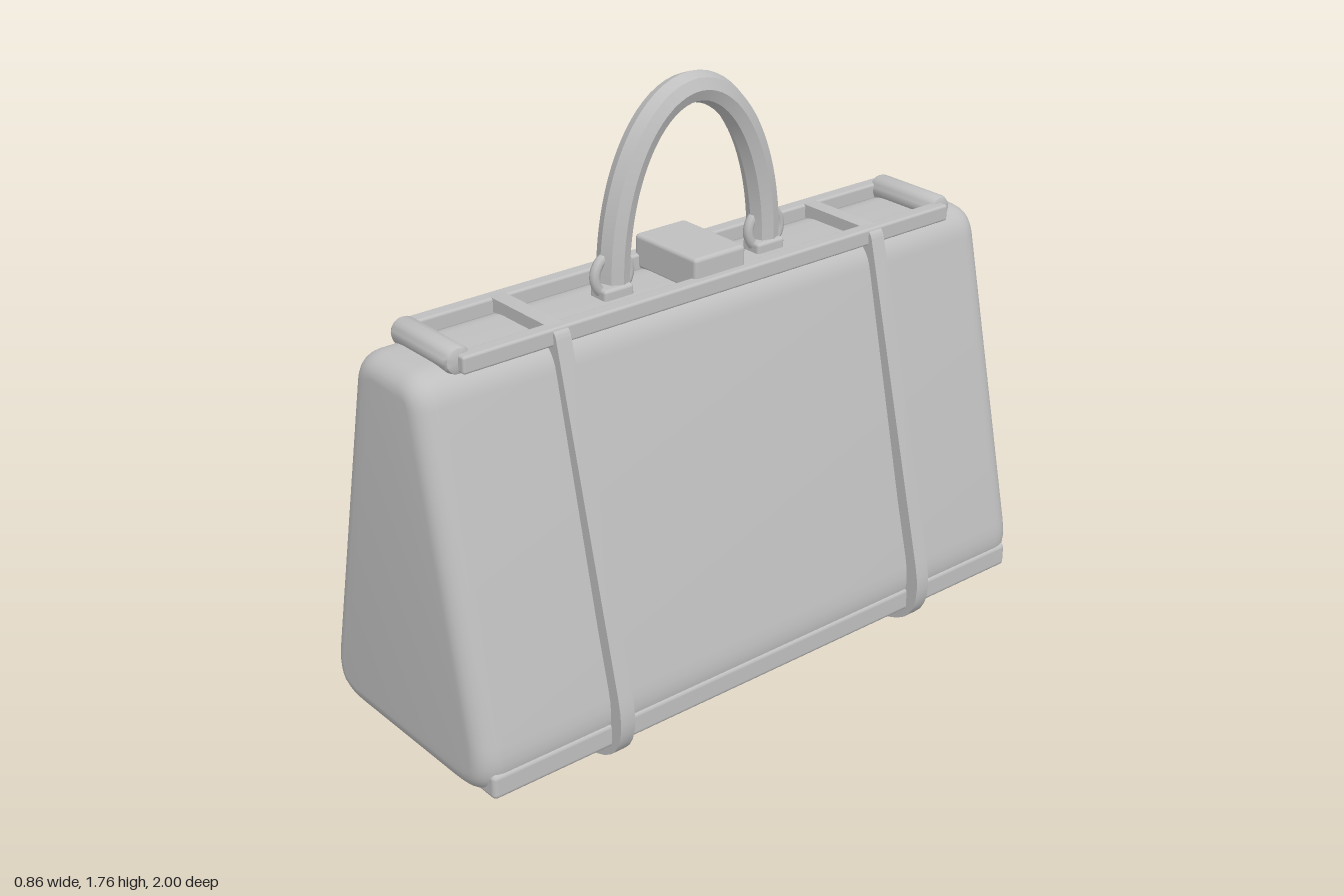
import * as THREE from 'three';
import { toCreasedNormals } from 'three/addons/utils/BufferGeometryUtils.js';
import { RoundedBoxGeometry } from 'three/addons/geometries/RoundedBoxGeometry.js';

const grey = new THREE.MeshStandardMaterial({ color: 0xbfbfbf });
grey.name = 'grey';

// Symmetric trapezoid with rounded corners (cut = distance from corner to where the curve starts)
function trapezoid(path, y0, half0, cut0, y1, half1, cut1) {
  const corners = [[half0, y0, cut0], [half1, y1, cut1], [-half1, y1, cut1], [-half0, y0, cut0]];
  corners.forEach(([x, y, cut], i) => {
    const p = new THREE.Vector2(x, y);
    const toward = (c) => new THREE.Vector2(c[0], c[1]).sub(p).setLength(cut).add(p);
    const a = toward(corners[(i + 3) % 4]);
    const b = toward(corners[(i + 1) % 4]);
    if (i === 0) path.moveTo(a.x, a.y);
    else path.lineTo(a.x, a.y);
    path.quadraticCurveTo(x, y, b.x, b.y);
  });
  path.closePath();
  return path;
}

// Arched handle: faceted section swept along half an ellipse in the yz plane
function handleGeometry() {
  const points = [];
  for (let i = 0; i <= 24; i++) {
    const t = (i / 24) * Math.PI;
    points.push(new THREE.Vector3(0, 1.23 + 0.485 * Math.sin(t), 0.268 * Math.cos(t)));
  }
  const g = new THREE.TubeGeometry(new THREE.CatmullRomCurve3(points), 48, 0.0445, 8, false);
  g.scale(1.07, 1, 1);
  return toCreasedNormals(g, 0.6);
}

export function createModel() {
  const model = new THREE.Group();
  model.name = 'bag';
  const bag = new THREE.Group();
  bag.name = 'bagParts';
  bag.position.x = 0.011;
  model.add(bag);

  function add(name, geometry, x = 0, y = 0, z = 0, parent = bag) {
    const mesh = new THREE.Mesh(geometry, grey);
    mesh.name = name;
    mesh.position.set(x, y, z);
    parent.add(mesh);
    return mesh;
  }
  const box = (w, h, d, r) => new RoundedBoxGeometry(w, h, d, 3, r);

  // Tapered body with softened ends
  const bodyShape = trapezoid(new THREE.Shape(), 0.05, 0.402, 0.17, 1.19, 0.147, 0.085);
  const body = new THREE.ExtrudeGeometry(bodyShape, {
    depth: 1.86, bevelEnabled: true, bevelThickness: 0.07, bevelSize: 0.06,
    bevelOffset: -0.06, bevelSegments: 6, curveSegments: 10,
  });
  body.translate(0, 0, -0.93);
  add('body', toCreasedNormals(body, 0.6));

  // Straps running all the way round
  const strapShape = trapezoid(new THREE.Shape(), 0, 0.462, 0.24, 1.225, 0.162, 0.03);
  strapShape.holes.push(trapezoid(new THREE.Path(), 0.04, 0.413, 0.21, 1.185, 0.13, 0.02));
  const strap = new THREE.ExtrudeGeometry(strapShape, { depth: 0.048, bevelEnabled: false, curveSegments: 10 });
  strap.translate(0, 0, -0.024);
  const strapGeometry = toCreasedNormals(strap, 0.6);

  // Buckle frame, facing -x once turned
  const frameShape = new THREE.Shape();
  frameShape.moveTo(-0.06, -0.087).lineTo(0.06, -0.087).lineTo(0.06, 0.087).lineTo(-0.06, 0.087).closePath();
  const opening = new THREE.Path();
  opening.moveTo(-0.032, -0.06).lineTo(-0.032, 0.06).lineTo(0.032, 0.06).lineTo(0.032, -0.06).closePath();
  frameShape.holes.push(opening);
  const frame = new THREE.ExtrudeGeometry(frameShape, {
    depth: 0.024, bevelEnabled: true, bevelThickness: 0.007, bevelSize: 0.006, bevelSegments: 2,
  });
  frame.translate(0, 0, -0.012);
  frame.rotateY(-Math.PI / 2);
  const frameGeometry = toCreasedNormals(frame, 0.6);

  // End roller with rounded rims
  const rollerGeometry = new THREE.LatheGeometry([
    [0, -0.133], [0.026, -0.133], [0.035, -0.129], [0.04, -0.118],
    [0.04, 0.118], [0.035, 0.129], [0.026, 0.133], [0, 0.133],
  ].map(([x, y]) => new THREE.Vector2(x, y)), 24);
  rollerGeometry.rotateZ(Math.PI / 2);

  for (const s of [-1, 1]) {
    add('strap', strapGeometry, 0, 0, s * 0.56);

    const buckle = new THREE.Group();
    buckle.name = 'buckle';
    buckle.position.set(-0.402, 0.403, s * 0.56);
    bag.add(buckle);
    add('buckleFrame', frameGeometry, 0, 0, 0, buckle);
    add('bucklePlate', box(0.02, 0.16, 0.07, 0.005), 0.012, 0, 0, buckle);
    add('bucklePin', box(0.026, 0.145, 0.022, 0.006), -0.026, 0, 0, buckle);

    // Top frame: side rails and end rollers
    add('topRail', box(0.045, 0.05, 1.72, 0.008), s * 0.134, 1.2, 0);
    add('endRoller', toCreasedNormals(rollerGeometry, 0.7), 0, 1.205, s * 0.855);

    // Bottom edge guards
    add('edgeGuard', box(0.085, 0.075, 1.94, 0.015), s * 0.332, 0.102, 0);

    // Handle rings
    const ring = add('handleRing', new THREE.TorusGeometry(0.058, 0.015, 8, 28), 0, 1.25, s * 0.272);
    ring.rotation.y = Math.PI / 2;
    add('ringMount', box(0.07, 0.04, 0.1, 0.01), 0, 1.2, s * 0.272);

    // Feet
    for (const x of [-1, 1]) {
      const foot = add('foot', new THREE.SphereGeometry(0.055, 20, 12), x * 0.25, 0.037, s * 0.835);
      foot.scale.y = 0.5;
    }
  }

  add('handle', handleGeometry());

  // Clasp with its round knob
  add('clasp', box(0.265, 0.1, 0.18, 0.012), 0, 1.232, 0);
  const knob = add('claspKnob', new THREE.CylinderGeometry(0.026, 0.03, 0.03, 20), -0.144, 1.237, 0);
  knob.rotation.z = Math.PI / 2;

  // Round badge on the buckle side
  const badge = add('badge', new THREE.CylinderGeometry(0.145, 0.145, 0.02, 40), -0.347, 0.505, 0);
  badge.rotation.z = Math.PI / 2;

  return model;
}
